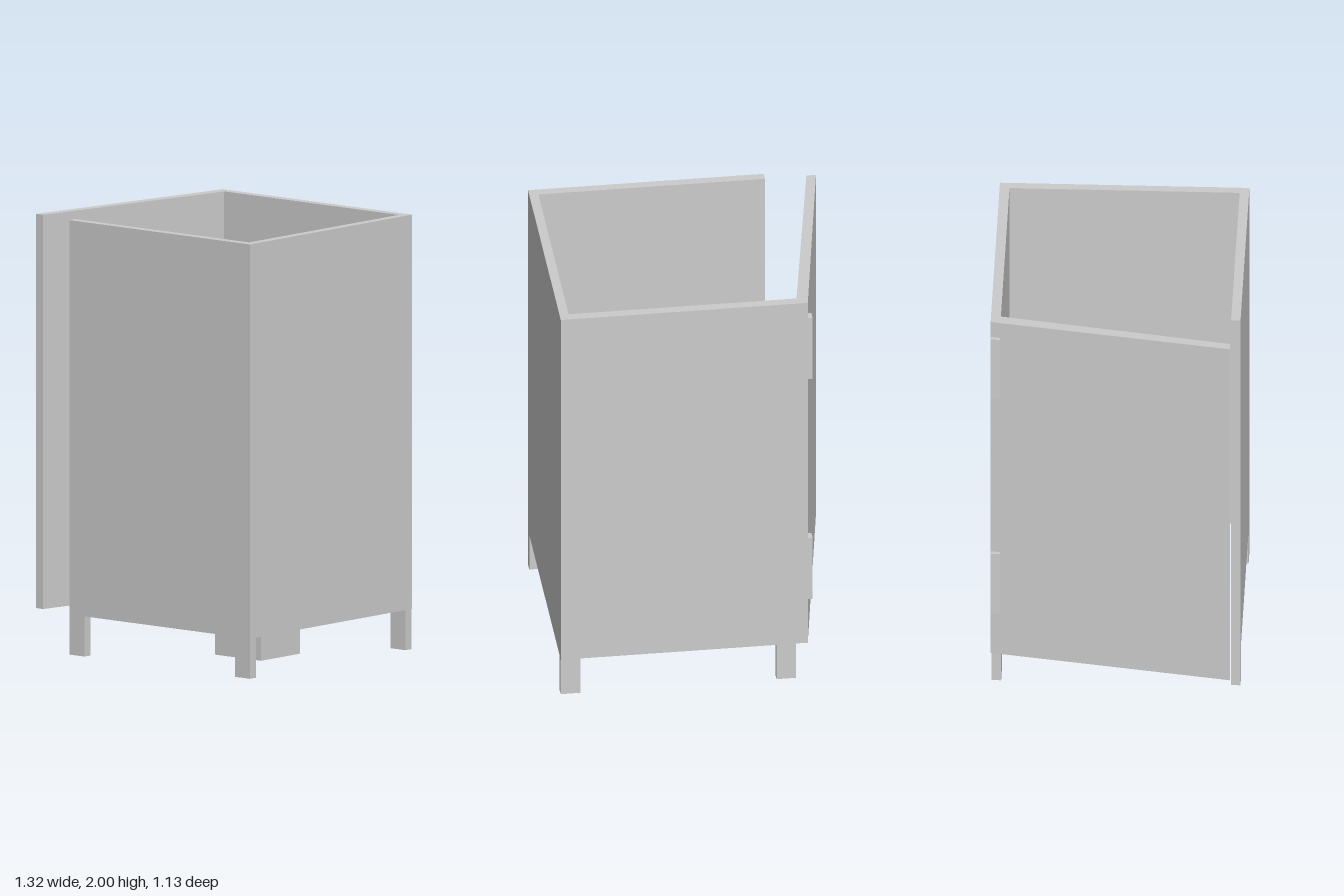
import * as THREE from 'three';

const material = new THREE.MeshStandardMaterial({ color: 0xcccccc, flatShading: true });

export function createModel() {
  const model = new THREE.Group();
  model.name = 'toiletStall';

  function add(name, geometry, parent = model) {
    const mesh = new THREE.Mesh(geometry, material);
    mesh.name = name;
    parent.add(mesh);
    return mesh;
  }

  // Box given by its limits on each axis
  function box(name, [x0, x1], [y0, y1], [z0, z1], parent) {
    const mesh = add(name, new THREE.BoxGeometry(x1 - x0, y1 - y0, z1 - z0), parent);
    mesh.position.set((x0 + x1) / 2, (y0 + y1) / 2, (z0 + z1) / 2);
    return mesh;
  }

  // Upright slab from a floor plan of [x, z] points, with optional holes
  function slab(name, plan, [y0, y1], parent, holes = []) {
    const points = (list) => list.map(([x, z]) => new THREE.Vector2(x, -z));
    const shape = new THREE.Shape(points(plan));
    for (const hole of holes) shape.holes.push(new THREE.Path(points(hole)));
    const geometry = new THREE.ExtrudeGeometry(shape, { depth: y1 - y0, bevelEnabled: false });
    geometry.rotateX(-Math.PI / 2);
    geometry.translate(0, y0, 0);
    return add(name, geometry, parent);
  }

  const rect = (x0, x1, z0, z1) => [[x0, z0], [x0, z1], [x1, z1], [x1, z0]];

  // Walls, open at the top and bottom
  const wallY = [0.185, 2];
  slab('backWall', [[-0.478, -0.57], [-0.432, -0.525], [0.655, -0.525], [0.655, -0.57]], wallY);
  box('sideWall', [0.613, 0.655], wallY, [-0.525, 0.522]);
  box('frontWall', [-0.425, 0.655], wallY, [0.522, 0.565]);

  // Door, standing ajar, with its two hinges
  slab('door', [[-0.478, -0.57], [-0.66, 0.525], [-0.616, 0.525], [-0.432, -0.525]], wallY);
  for (const y of [0.58, 1.755]) box('hinge', [-0.5, -0.465], [y - 0.163, y + 0.163], [-0.569, -0.527]);

  // Four feet under the corners
  for (const x of [-0.425, 0.565]) {
    for (const z of [-0.567, 0.522]) box('foot', [x, x + 0.09], [0, 0.185], [z, z + 0.043]);
  }

  // Toilet: pedestal, bowl, seat with a square opening, and tank
  const toilet = new THREE.Group();
  toilet.name = 'toilet';
  model.add(toilet);
  box('pedestal', [0.08, 0.355], [0, 0.29], [-0.136, 0.136], toilet);
  box('bowl', [-0.053, 0.42], [0.29, 0.36], [-0.205, 0.205], toilet);
  slab('seat', rect(0.015, 0.424, -0.27, 0.27), [0.36, 0.43], toilet, [rect(0.08, 0.355, -0.136, 0.136)]);
  box('tank', [0.388, 0.594], [0.36, 0.8], [-0.24, 0.24], toilet);

  // Paper holder on the back wall
  const holder = new THREE.Group();
  holder.name = 'paperHolder';
  holder.position.set(0.01, 0.75, 0);
  model.add(holder);
  box('paperRoll', [-0.056, 0.056], [-0.05, 0.05], [-0.495, -0.395], holder);
  for (const side of [-1, 1]) {
    const span = (a, b) => (side > 0 ? [a, b] : [-b, -a]);
    box('holderArm', span(0.08, 0.102), [-0.02, 0.02], [-0.525, -0.428], holder);
    box('holderPin', span(0.056, 0.08), [-0.02, 0.02], [-0.47, -0.428], holder);
  }

  return model;
}
